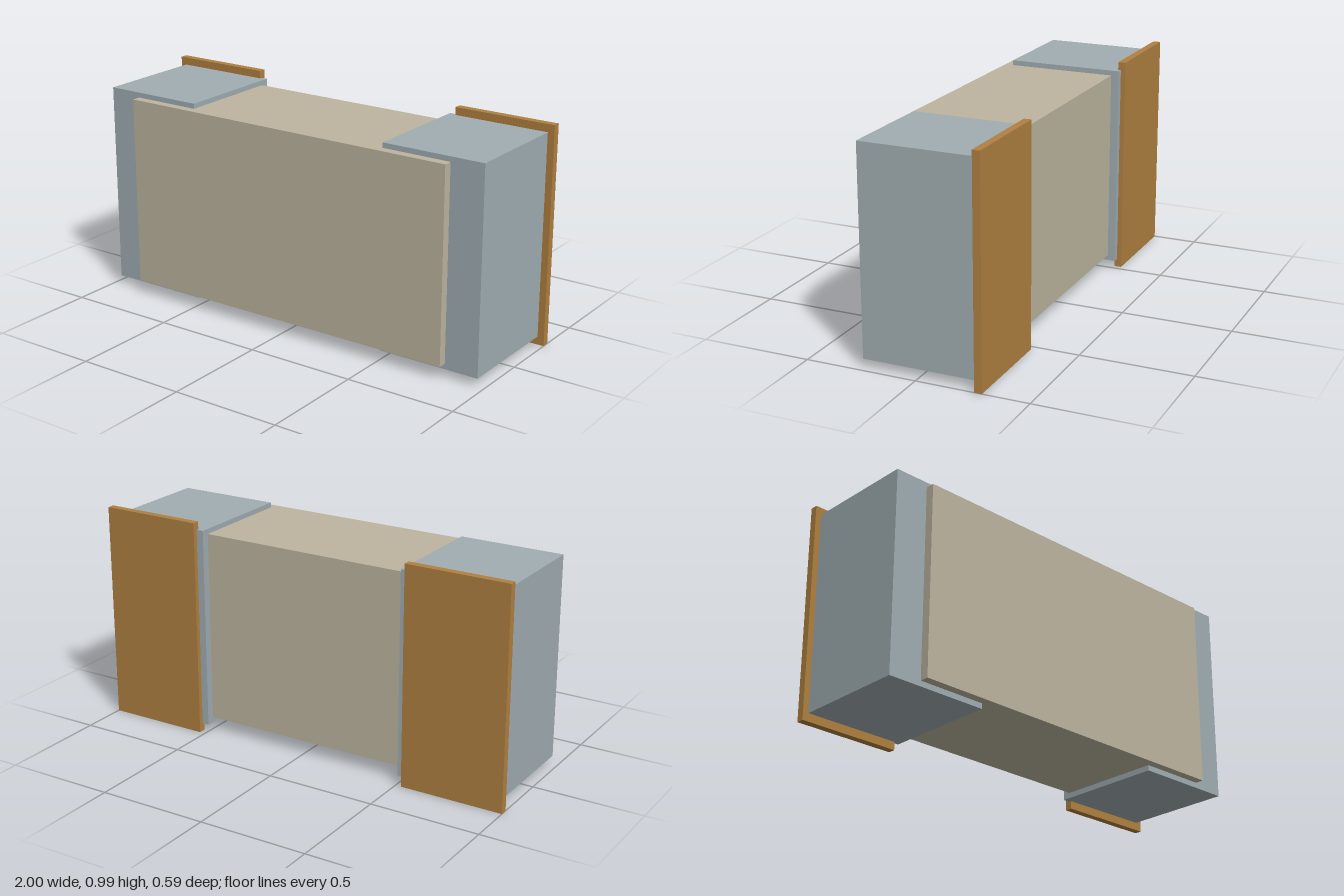
import * as THREE from 'three';

const ceramic = new THREE.MeshStandardMaterial({ name: 'ceramic beige', color: 0xbdb5a0 });
const metal = new THREE.MeshStandardMaterial({ name: 'terminal grey', color: 0xa0adb2 });
const copper = new THREE.MeshStandardMaterial({ name: 'copper', color: 0xb08040 });

// Box given by its minimum and maximum corners
function box(name, material, [x0, y0, z0], [x1, y1, z1]) {
  const mesh = new THREE.Mesh(new THREE.BoxGeometry(x1 - x0, y1 - y0, z1 - z0), material);
  mesh.position.set((x0 + x1) / 2, (y0 + y1) / 2, (z0 + z1) / 2);
  mesh.name = name;
  return mesh;
}

export function createModel() {
  const group = new THREE.Group();
  group.name = 'chipComponent';

  // Main block, standing slightly proud of the end caps at the front
  group.add(box('body', ceramic, [-0.817, 0.062, -0.237], [0.813, 0.934, 0.294]));

  // End caps wrapping the body
  group.add(box('rightEndCap', metal, [-0.973, 0.037, -0.273], [-0.497, 0.957, 0.254]));
  group.add(box('leftEndCap', metal, [0.493, 0.037, -0.273], [0.969, 0.957, 0.254]));

  // Mounting pads behind the caps
  for (const side of [-1, 1]) {
    const xs = [side * 0.526, side].sort((a, b) => a - b);
    group.add(box(side < 0 ? 'rightPad' : 'leftPad', copper, [xs[0], 0, -0.294], [xs[1], 0.992, -0.26]));
  }
  return group;
}
